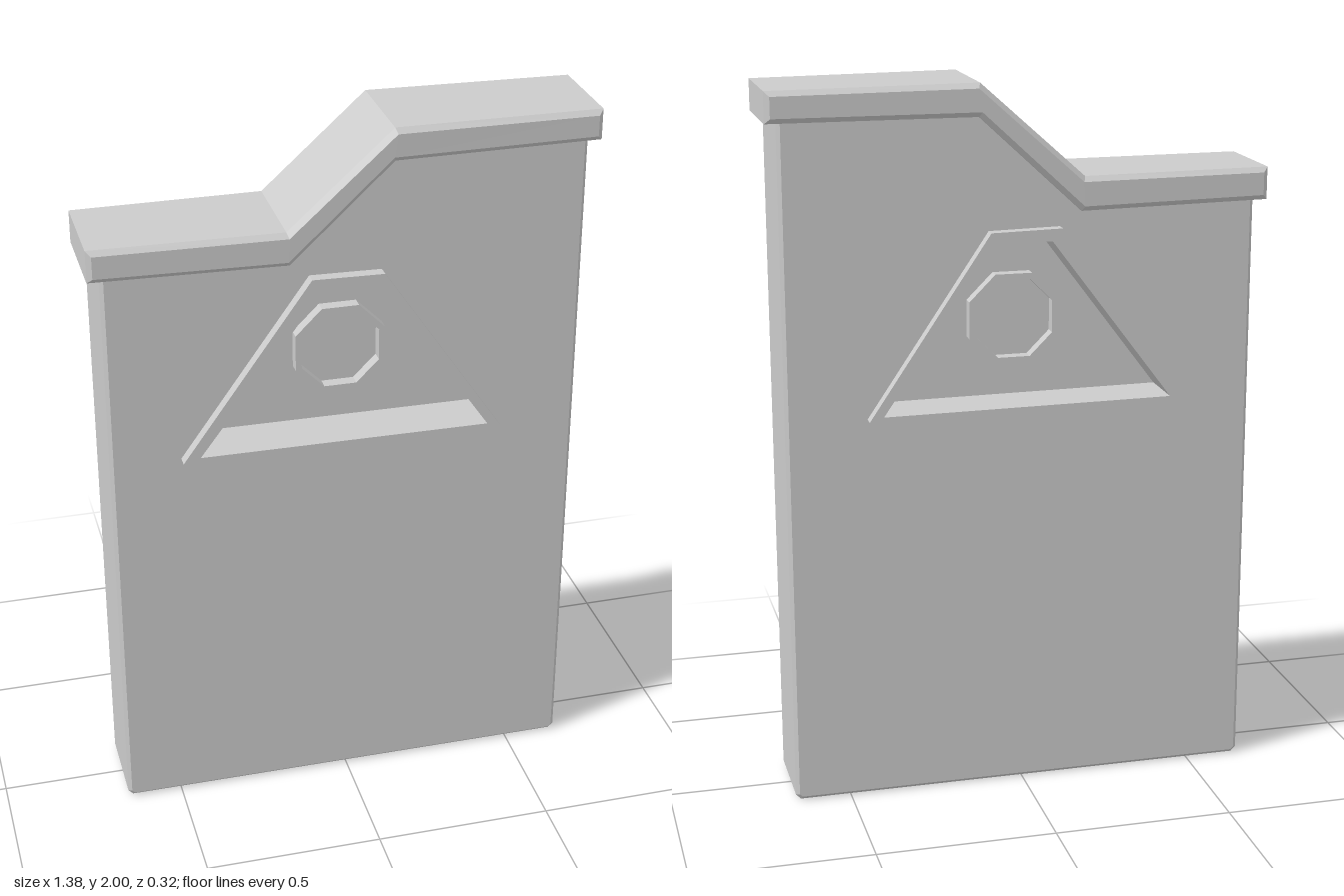
import * as THREE from 'three';

const material = new THREE.MeshStandardMaterial({ color: 0xcccccc, flatShading: true });
const toPoints = (list) => list.map(([x, y]) => new THREE.Vector2(x, y));

// Extrudes an outline symmetrically about z = 0, keeping its size and chamfering its edges.
function slab(name, outline, halfDepth, bevel = 0, hole = null) {
  const shape = new THREE.Shape(toPoints(outline));
  if (hole) shape.holes.push(new THREE.Path(toPoints(hole)));
  const geometry = new THREE.ExtrudeGeometry(shape, {
    depth: 2 * (halfDepth - bevel),
    bevelEnabled: bevel > 0,
    bevelThickness: bevel,
    bevelSize: bevel,
    bevelOffset: -bevel,
    bevelSegments: 1,
  });
  geometry.translate(0, 0, bevel - halfDepth);
  const mesh = new THREE.Mesh(geometry, material);
  mesh.name = name;
  return mesh;
}

function octagon(radius, cx, cy) {
  return Array.from({ length: 8 }, (_, i) => {
    const a = ((i + 0.5) * Math.PI) / 4;
    return [cx + radius * Math.cos(a), cy + radius * Math.sin(a)];
  });
}

export function createModel() {
  const group = new THREE.Group();
  group.name = 'steppedSlab';

  const frameOuter = [[-0.462, 1.106], [0.432, 1.102], [0.094, 1.602], [-0.104, 1.606]];
  const frameInner = [[-0.415, 1.119], [0.393, 1.114], [0.078, 1.572], [-0.075, 1.572]];

  // Body: its top edge follows the step and is buried in the cap
  const body = [
    [-0.642, 0], [0.642, 0], [0.656, 0.014], [0.656, 1.95],
    [0.11, 1.95], [-0.17, 1.7], [-0.656, 1.7], [-0.656, 0.014],
  ];
  group.add(slab('body', body, 0.127, 0.01, frameInner));

  // Stepped cap, slightly thinner towards both ends
  const cap = [
    [-0.69, 1.655], [-0.16, 1.648], [0.122, 1.91], [0.688, 1.91],
    [0.688, 1.995], [0.12, 2], [-0.168, 1.742], [-0.69, 1.745],
  ];
  const capMesh = slab('cap', cap, 0.158, 0.014);
  const position = capMesh.geometry.attributes.position;
  for (let i = 0; i < position.count; i++) {
    const outward = Math.max(0, Math.abs(position.getX(i)) - 0.15) / 0.54;
    position.setZ(i, position.getZ(i) * (1 - 0.06 * outward));
  }
  capMesh.geometry.computeVertexNormals();
  group.add(capMesh);

  // Raised frame whose inner walls line the recess on both sides
  group.add(slab('recessFrame', frameOuter, 0.16, 0, frameInner));
  group.add(slab('recessFloor', frameOuter, 0.01));

  // Octagonal ring standing on the recess floor, front and back
  group.add(slab('octagonRing', octagon(0.136, 0.003, 1.338), 0.045, 0, octagon(0.118, 0.003, 1.338)));

  return group;
}
